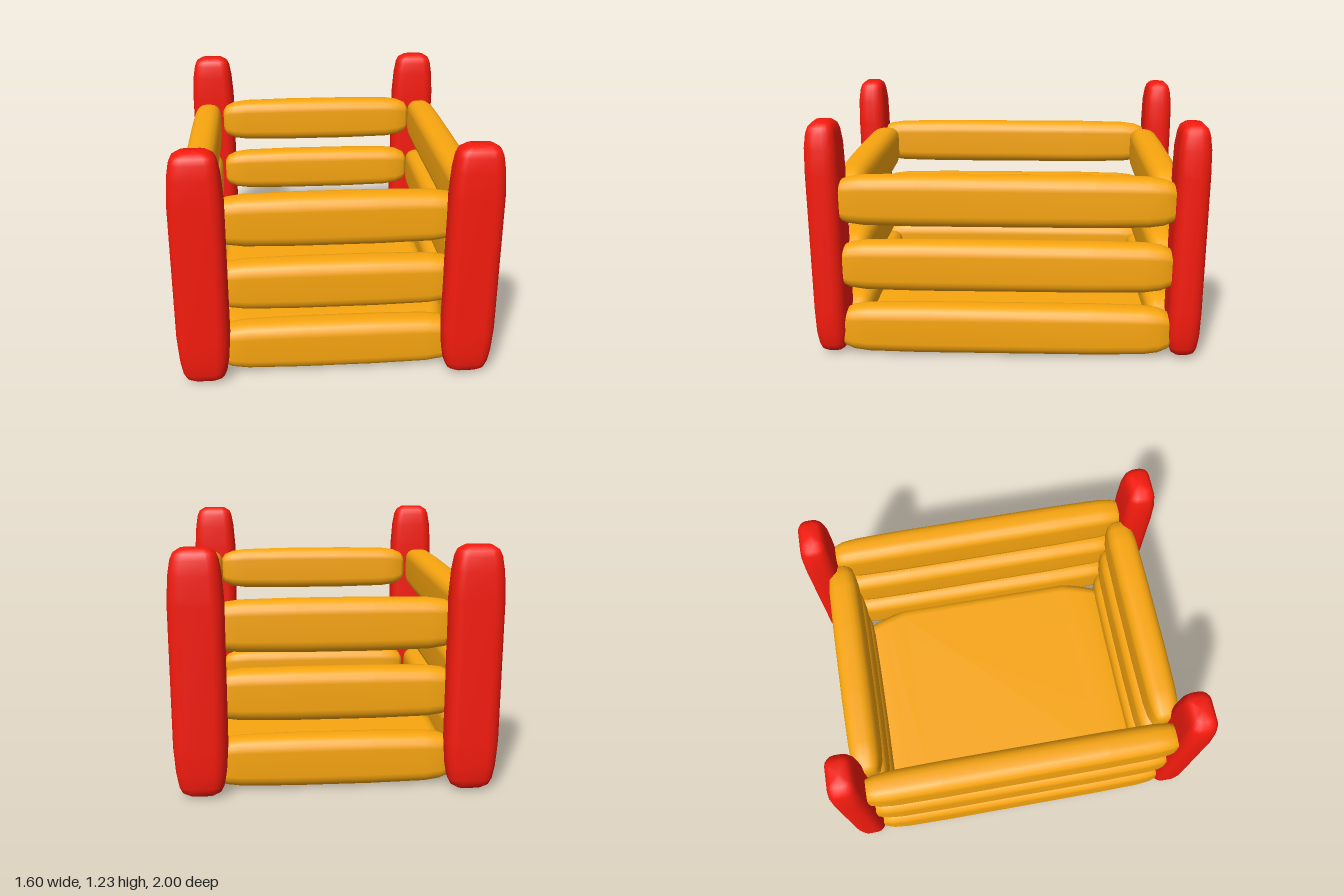
import * as THREE from 'three';

const RED = new THREE.MeshStandardMaterial({ color: 0xf71b0e });
const ORANGE = new THREE.MeshStandardMaterial({ color: 0xf9a60f });

// Half of the end rounding: [distance from end, x scale, z scale]
const POST_END = [[0, 0.5, 0.5], [0.02, 0.74, 0.74], [0.05, 0.84, 0.86], [0.12, 0.93, 0.97], [0.25, 1, 1]];
const RAIL_END = [[0, 0.5, 0.5], [0.02, 0.72, 0.72], [0.07, 0.88, 0.88], [0.15, 0.96, 0.96], [0.42, 1, 1]];
const FLOOR_END = [[0, 0.76, 0.4], [0.03, 0.83, 0.7], [0.09, 0.9, 0.92], [0.18, 0.95, 0.98], [0.29, 1, 1]];

// Cushion running along y: rounded-rectangle sections, shrinking towards both ends
function cushion(width, length, depth, radius, end) {
  const section = [];
  const steps = 4;
  for (let c = 0; c < 4; c++) {
    const sx = c === 0 || c === 3 ? 1 : -1;
    const sz = c < 2 ? 1 : -1;
    for (let i = 0; i <= steps; i++) {
      const a = (c + i / steps) * Math.PI / 2;
      section.push([
        sx * (width / 2 - radius) + radius * Math.cos(a),
        sz * (depth / 2 - radius) + radius * Math.sin(a),
      ]);
    }
  }
  const stations = [
    ...end.map(([d, x, z]) => [d - length / 2, x, z]),
    ...end.map(([d, x, z]) => [length / 2 - d, x, z]).reverse(),
  ];
  const n = section.length;
  const pos = [];
  const index = [];
  for (const [y, kx, kz] of stations) {
    for (const [x, z] of section) pos.push(x * kx, y, z * kz);
  }
  for (let s = 0; s < stations.length - 1; s++) {
    for (let i = 0; i < n; i++) {
      const a = s * n + i;
      const b = s * n + (i + 1) % n;
      index.push(a, a + n, b, b, a + n, b + n);
    }
  }
  // End caps
  const bottom = pos.length / 3;
  const last = (stations.length - 1) * n;
  pos.push(0, -length / 2, 0, 0, length / 2, 0);
  for (let i = 0; i < n; i++) {
    const j = (i + 1) % n;
    index.push(bottom, i, j, bottom + 1, last + j, last + i);
  }
  const geo = new THREE.BufferGeometry();
  geo.setAttribute('position', new THREE.Float32BufferAttribute(pos, 3));
  geo.setIndex(index);
  geo.computeVertexNormals();
  return geo;
}

export function createModel() {
  const group = new THREE.Group();
  const add = (name, geo, mat, x, y, z) => {
    const mesh = new THREE.Mesh(geo, mat);
    mesh.name = name;
    mesh.position.set(x, y, z);
    group.add(mesh);
  };

  // Corner posts
  const post = cushion(0.265, 1.22, 0.168, 0.062, POST_END);
  for (const x of [-1, 1]) {
    for (const z of [-1, 1]) {
      add(`${z > 0 ? 'front' : 'back'}${x > 0 ? 'Left' : 'Right'}Post`, post, RED, x * 0.667, 0.62, z * 0.916);
    }
  }

  // Three levels of rails on each of the four sides
  const crossRail = cushion(0.262, 1.22, 0.17, 0.065, RAIL_END).rotateZ(Math.PI / 2);
  const sideRail = cushion(0.17, 1.73, 0.262, 0.065, RAIL_END).rotateX(Math.PI / 2);
  [0.136, 0.485, 0.833].forEach((y, i) => {
    for (const s of [-1, 1]) {
      add(`${s > 0 ? 'front' : 'back'}Rail${i + 1}`, crossRail, ORANGE, 0.01, y, s * 0.816);
      add(`${s > 0 ? 'left' : 'right'}Rail${i + 1}`, sideRail, ORANGE, s * 0.696, y, 0.01);
    }
  });

  // Padded floor
  const floor = cushion(1.24, 1.64, 0.168, 0.075, FLOOR_END).rotateX(Math.PI / 2);
  add('floor', floor, ORANGE, 0.015, 0.084, 0);

  return group;
}
